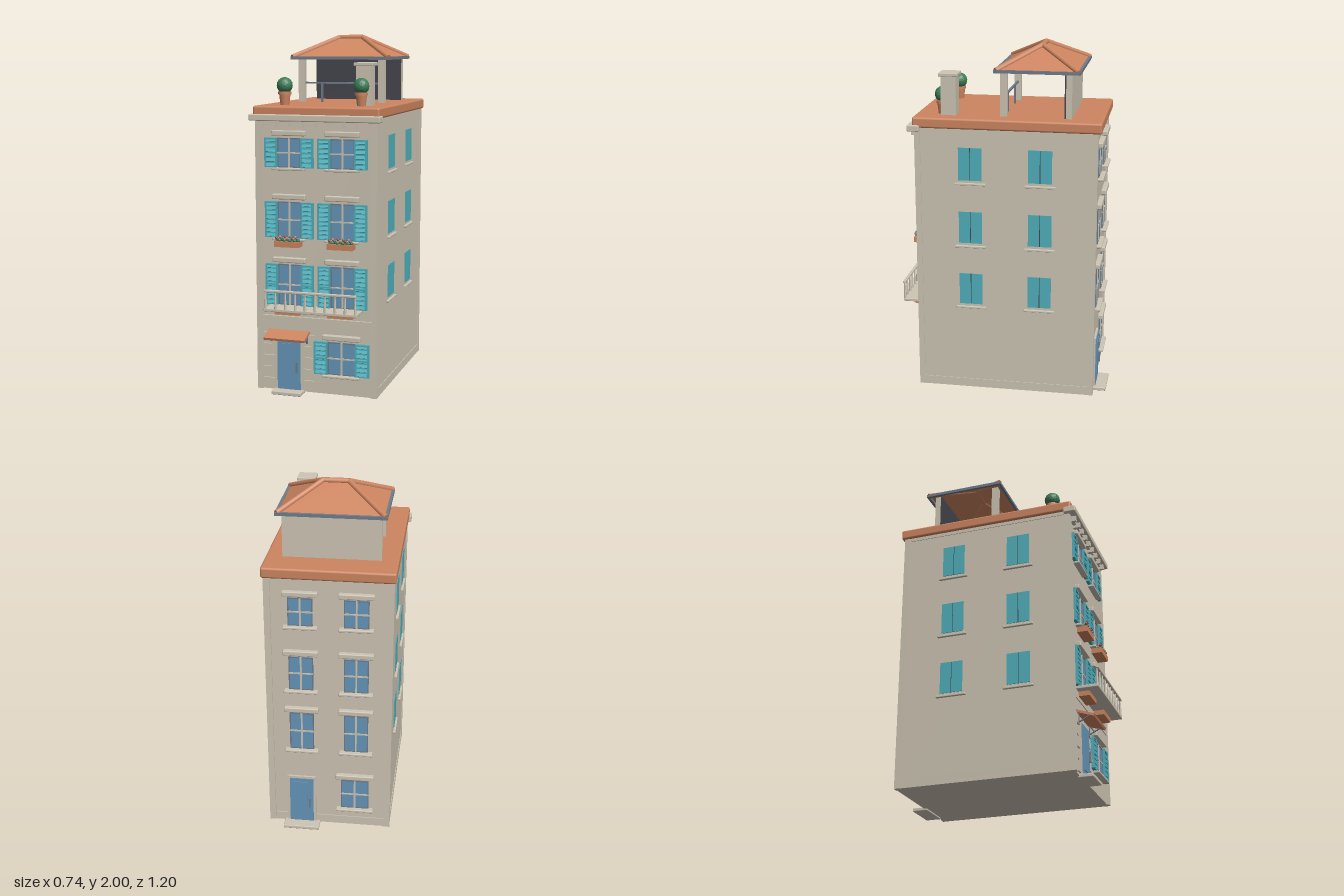
import * as THREE from 'three';
import { RoundedBoxGeometry } from 'three/addons/geometries/RoundedBoxGeometry.js';

const mat = (name, color, extra = {}) => {
  const m = new THREE.MeshStandardMaterial({ color, ...extra });
  m.name = name;
  return m;
};

export function createModel() {
  const stone = mat('stone', 0xcdc5b4);
  const terracotta = mat('terracotta', 0xcd8560);
  const tile = mat('roof tile', 0xcd8560, { side: THREE.DoubleSide, flatShading: true });
  const teal = mat('shutter teal', 0x4fb0bc);
  const blue = mat('window blue', 0x6596b9);
  const slate = mat('slate', 0x707c8a);
  const charcoal = mat('charcoal', 0x45454d);
  const green = mat('leaf green', 0x3f7d58, { flatShading: true });
  const red = mat('flower red', 0xb8473c);

  const house = new THREE.Group();
  house.name = 'townhouse';

  const add = (parent, name, geo, m, x = 0, y = 0, z = 0) => {
    const mesh = new THREE.Mesh(geo, m);
    mesh.name = name;
    mesh.position.set(x, y, z);
    parent.add(mesh);
    return mesh;
  };
  // Box given by its limits on each axis
  const box = (parent, name, m, x0, x1, y0, y1, z0, z1) => add(parent, name,
    new THREE.BoxGeometry(x1 - x0, y1 - y0, z1 - z0), m, (x0 + x1) / 2, (y0 + y1) / 2, (z0 + z1) / 2);
  const softBox = (parent, name, m, r, x0, x1, y0, y1, z0, z1) => add(parent, name,
    new RoundedBoxGeometry(x1 - x0, y1 - y0, z1 - z0, 2, r), m, (x0 + x1) / 2, (y0 + y1) / 2, (z0 + z1) / 2);
  const group = (name, x = 0, y = 0, z = 0, ry = 0, parent = house) => {
    const g = new THREE.Group();
    g.name = name;
    g.position.set(x, y, z);
    g.rotation.y = ry;
    parent.add(g);
    return g;
  };
  // Cylinder between two points
  const rod = (parent, name, m, a, b, r) => {
    const d = b.clone().sub(a);
    const mesh = add(parent, name, new THREE.CylinderGeometry(r, r, d.length(), 10), m);
    mesh.position.copy(a).addScaledVector(d, 0.5);
    mesh.quaternion.setFromUnitVectors(new THREE.Vector3(0, 1, 0), d.normalize());
  };

  // Main body with corner pilasters, plinth and top band
  box(house, 'body', stone, -0.344, 0.344, 0.01, 1.56, -0.522, 0.475);
  for (const s of [-1, 1]) {
    const [a, b] = s < 0 ? [-0.35, -0.315] : [0.315, 0.35];
    box(house, 'frontPilaster', stone, a, b, 0.01, 1.55, 0.455, 0.487);
    box(house, 'backPilaster', stone, a, b, 0.01, 1.55, -0.532, -0.5);
    const [c, d] = s < 0 ? [-0.348, -0.34] : [0.34, 0.348];
    box(house, 'sidePlinth', stone, c, d, 0.01, 0.06, -0.51, 0.47);
    box(house, 'sideTopBand', stone, c, d, 1.53, 1.56, -0.51, 0.47);
  }
  box(house, 'backPlinth', stone, -0.32, 0.32, 0.01, 0.06, -0.527, -0.51);
  box(house, 'floorBand', stone, -0.32, 0.32, 0.36, 0.44, 0.47, 0.484);
  box(house, 'floorBandLip', stone, -0.32, 0.32, 0.42, 0.44, 0.47, 0.489);

  // Cornice with brackets, and terrace slab
  softBox(house, 'cornice', stone, 0.006, -0.373, 0.37, 1.53, 1.566, 0.455, 0.525);
  box(house, 'corniceStrip', stone, -0.315, 0.315, 1.515, 1.53, 0.47, 0.495);
  for (let i = 0; i < 9; i++) {
    const x = -0.304 + i * 0.076;
    box(house, 'corniceBracket', stone, x - 0.009, x + 0.009, 1.498, 1.532, 0.47, 0.514);
  }
  softBox(house, 'terraceSlab', terracotta, 0.012, -0.36, 0.36, 1.55, 1.61, -0.552, 0.497);

  // Louvred shutter centred at x
  const shutter = (g, x, w, y0, y1) => {
    const s = group('shutter', 0, 0, 0, 0, g), a = x - w / 2, b = x + w / 2, t = 0.009;
    box(s, 'shutterPanel', teal, a, b, y0, y1, 0, 0.01);
    for (const e of [a, b - t]) box(s, 'shutterStile', teal, e, e + t, y0, y1, 0, 0.02);
    for (const y of [y0, (y0 + y1) / 2 - t / 2, y1 - t]) box(s, 'shutterRail', teal, a, b, y, y + t, 0, 0.019);
    const n = Math.round((y1 - y0) / 0.026);
    for (let i = 0; i < n; i++) {
      const slat = add(s, 'slat', new THREE.BoxGeometry(w - 2 * t, 0.018, 0.004), teal,
        x, y0 + (i + 0.5) * (y1 - y0) / n, 0.014);
      slat.rotation.x = -0.5;
    }
  };
  // Window with frame, cross bars, lintel and sill; wall surface at z = 0
  const windowUnit = (g, x, w, y0, y1, lintelY, shutterW) => {
    const u = group('window', 0, 0, 0, 0, g), a = x - w / 2, b = x + w / 2, ym = (y0 + y1) / 2, t = 0.006;
    box(u, 'glass', blue, a, b, y0, y1, -0.01, 0.004);
    for (const e of [a, b - t]) box(u, 'frameSide', slate, e, e + t, y0, y1, 0, 0.008);
    for (const e of [y0, y1 - t]) box(u, 'frameEnd', slate, a, b, e, e + t, 0, 0.008);
    box(u, 'mullion', stone, x - 0.005, x + 0.005, y0, y1, 0, 0.009);
    box(u, 'crossBar', stone, a, b, ym - 0.004, ym + 0.004, 0, 0.009);
    softBox(u, 'lintel', stone, 0.005, x - w / 2 - 0.028, x + w / 2 + 0.028, lintelY, lintelY + 0.028, -0.01, 0.028);
    softBox(u, 'sill', stone, 0.004, x - w / 2 - 0.026, x + w / 2 + 0.026, y0 - 0.014, y0, -0.01, 0.034);
    if (shutterW) for (const s of [-1, 1]) shutter(u, x + s * (w + shutterW) / 2, shutterW, y0, y1);
  };
  const doorUnit = (g, depth, stepX0, stepX1) => {
    const d = group('door', 0, 0, 0, 0, g);
    box(d, 'doorFrame', stone, -0.242, -0.078, 0.02, 0.318, 0, 0.012);
    box(d, 'doorLeaf', blue, -0.228, -0.092, 0.02, 0.305, 0, 0.016);
    box(d, 'doorPanel', blue, -0.212, -0.125, 0.05, 0.285, 0, 0.021);
    box(d, 'doorHandle', slate, -0.116, -0.109, 0.12, 0.18, 0.01, 0.03);
    softBox(d, 'doorstep', stone, 0.004, stepX0, stepX1, 0, 0.02, -0.01, depth);
  };

  // Front and back facades share floors and columns
  const floors = [[0.505, 0.735, 0.747], [0.885, 1.085, 1.1], [1.275, 1.437, 1.45]];
  const facade = (name, z, ry, shutters, depth, s0, s1) => {
    const g = group(name, 0, 0, z, ry);
    for (const [y0, y1, l] of floors)
      for (const x of [-0.154, 0.151]) windowUnit(g, x, 0.136, y0, y1, l, shutters && 0.072);
    windowUnit(g, 0.146, 0.16, 0.125, 0.31, 0.324, shutters && 0.078);
    doorUnit(g, depth, s0, s1);
    return g;
  };
  const front = facade('frontFacade', 0.475, 0, true, 0.073, -0.247, -0.073);
  facade('backFacade', -0.522, Math.PI, false, 0.078, -0.26, -0.055);

  // Rusticated ground-floor blocks
  for (let i = 0; i < 5; i++) {
    const y = 0.025 + i * 0.066, e = i % 2 ? 0.02 : 0;
    box(front, 'stoneBlock', stone, -0.318, -0.247 - e, y, y + 0.052, 0, 0.009);
    box(front, 'stoneBlock', stone, -0.073, -0.013 - e, y, y + 0.052, 0, 0.009);
  }

  // Flower boxes
  for (const x of [-0.154, 0.151]) for (const [y, planted] of [[0.84, true], [0.46, false]]) {
    const p = group('flowerBox', x, y, 0.517);
    box(p, 'trough', terracotta, -0.072, 0.072, 0, 0.032, -0.04, 0.02);
    if (planted) for (let i = 0; i < 9; i++) {
      const fx = -0.06 + i * 0.015;
      add(p, 'leaf', new THREE.IcosahedronGeometry(0.011, 1), green, fx, 0.037, i % 2 ? 0.006 : -0.006);
      add(p, 'flower', new THREE.IcosahedronGeometry(0.008, 1), [red, terracotta, slate][i % 3],
        fx, 0.05 + (i % 2) * 0.005, i % 2 ? -0.002 : 0.012);
    }
  }

  // Balcony
  const balcony = group('balcony');
  softBox(balcony, 'balconySlab', stone, 0.004, -0.268, 0.266, 0.487, 0.505, 0.47, 0.597);
  softBox(balcony, 'handrail', stone, 0.004, -0.265, 0.263, 0.596, 0.61, 0.583, 0.6);
  for (let i = 0; i < 10; i++)
    add(balcony, 'baluster', new THREE.CylinderGeometry(0.004, 0.008, 0.096, 8), stone, -0.257 + i * 0.057, 0.55, 0.59);

  // Door awning
  const awning = group('awning', -0.16, 0.341, 0.525);
  const hood = add(awning, 'awningHood', new THREE.BoxGeometry(0.24, 0.014, 0.1), terracotta);
  hood.rotation.x = 0.33;
  for (const x of [-0.105, 0.105]) {
    rod(awning, 'awningBrace', slate, new THREE.Vector3(x, -0.045, -0.045), new THREE.Vector3(x, -0.012, 0.02), 0.004);
    box(awning, 'awningBracket', slate, x - 0.005, x + 0.005, -0.05, 0.005, -0.05, -0.038);
  }

  // Closed shutters on both sides
  for (const s of [-1, 1]) {
    const side = group('sideWindows', s * 0.344, 0, 0, s * Math.PI / 2);
    for (const z of [0.175, -0.217]) for (const [y0, y1] of [[0.53, 0.712], [0.895, 1.078], [1.26, 1.446]]) {
      const x = -s * z;
      box(side, 'sideShutterGap', charcoal, x - 0.003, x + 0.003, y0, y1, -0.004, 0.002);
      for (const [a, b] of [[x - 0.066, x - 0.002], [x + 0.002, x + 0.066]])
        box(side, 'sideShutter', teal, a, b, y0, y1, -0.005, 0.004);
      softBox(side, 'sideSill', stone, 0.003, x - 0.087, x + 0.087, y0 - 0.026, y0 - 0.014, -0.005, 0.014);
    }
  }

  // Chimney
  box(house, 'chimneyShaft', stone, 0.188, 0.272, 1.6, 1.828, 0.265, 0.35);
  softBox(house, 'chimneyCap', stone, 0.004, 0.176, 0.285, 1.826, 1.845, 0.253, 0.361);

  // Potted shrubs
  for (const x of [-0.224, 0.219]) {
    const p = group('pottedShrub', x, 1.61, 0.35);
    add(p, 'pot', new THREE.CylinderGeometry(0.032, 0.025, 0.062, 14), terracotta, 0, 0.031, 0);
    add(p, 'potRim', new THREE.CylinderGeometry(0.037, 0.037, 0.016, 14), terracotta, 0, 0.066, 0);
    add(p, 'shrub', new THREE.IcosahedronGeometry(0.045, 2), green, 0, 0.108, 0);
  }

  // Roof pavilion: posts, back wall, railing, eave frame
  const pav = group('pavilion');
  for (const s of [-1, 1]) {
    const x = s * 0.24;
    box(pav, 'post', stone, x - 0.018, x + 0.018, 1.6, 1.86, -0.018, 0.02);
    box(pav, 'railPost', slate, s * 0.12 - 0.005, s * 0.12 + 0.005, 1.6, 1.72, -0.005, 0.005);
    box(pav, 'eaveSide', slate, s * 0.29 - 0.008, s * 0.29 + 0.008, 1.855, 1.872, -0.425, 0.05);
  }
  box(pav, 'rail', slate, -0.23, 0.23, 1.715, 1.725, -0.006, 0.006);
  box(pav, 'backWall', stone, -0.268, 0.268, 1.6, 1.86, -0.378, -0.345);
  box(pav, 'backWallLining', charcoal, -0.266, 0.266, 1.61, 1.858, -0.345, -0.337);
  for (const z of [-0.417, 0.042]) box(pav, 'eaveEnd', slate, -0.298, 0.298, 1.855, 1.872, z - 0.008, z + 0.008);

  // Hipped roof with rounded caps
  const v = (x, y, z) => new THREE.Vector3(x, y, z);
  const A = v(-0.288, 1.868, 0.04), B = v(0.288, 1.868, 0.04), C = v(0.288, 1.868, -0.415), D = v(-0.288, 1.868, -0.415);
  const L = v(-0.07, 1.982, -0.188), R = v(0.07, 1.982, -0.188);
  const hip = new THREE.BufferGeometry().setFromPoints([A, B, R, A, R, L, B, C, R, C, D, L, C, L, R, D, A, L]);
  hip.computeVertexNormals();
  add(pav, 'hippedRoof', hip, tile);
  for (const [a, b] of [[A, L], [B, R], [C, R], [D, L], [L, R]]) rod(pav, 'roofCap', terracotta, a, b, 0.016);

  return house;
}
